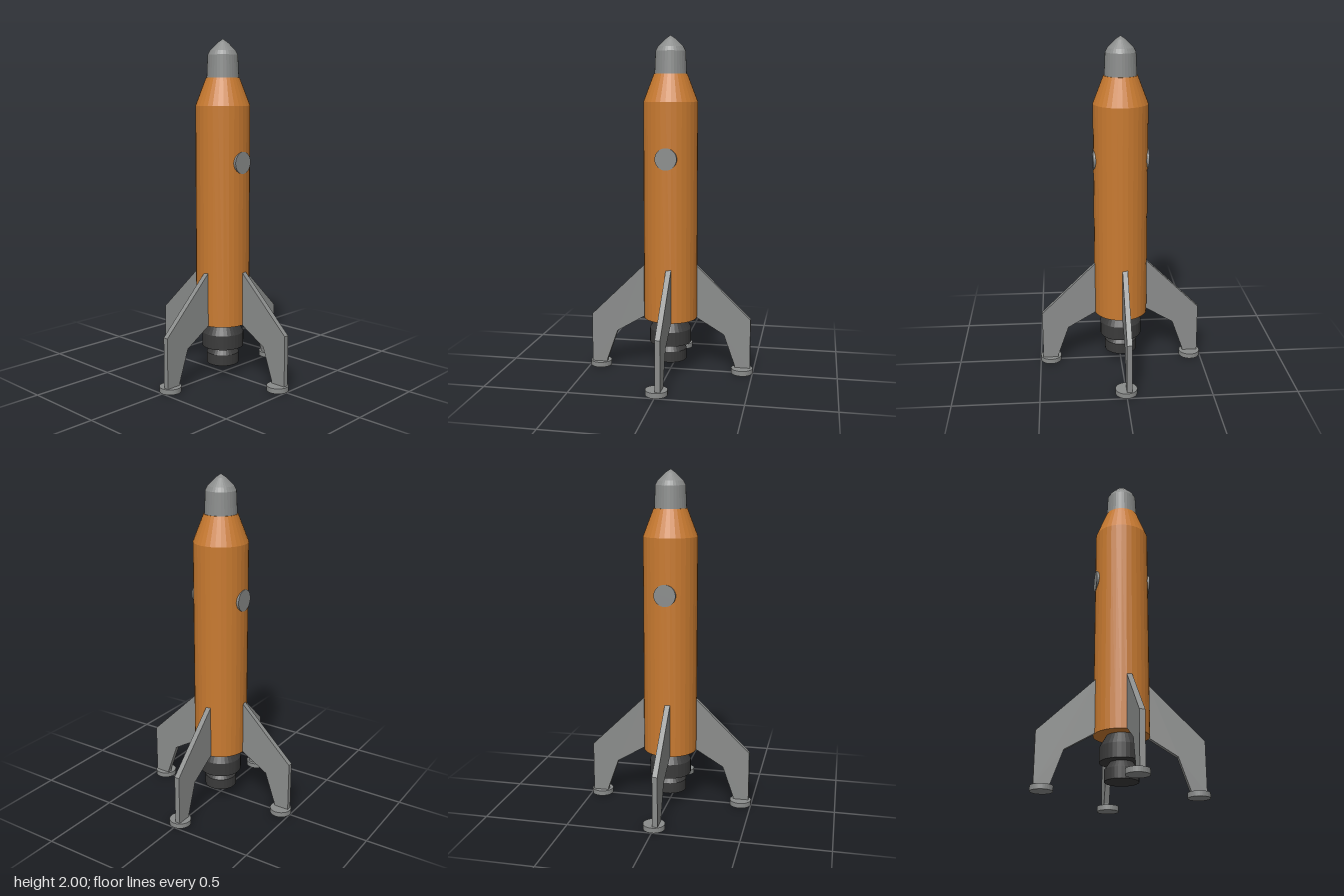
import * as THREE from 'three';

const material = (name, color) => {
  const m = new THREE.MeshStandardMaterial({ color, flatShading: true });
  m.name = name;
  return m;
};

export function createModel() {
  const orange = material('orange hull', 0xc87a30);
  const grey = material('grey metal', 0x8a8c8b);
  const dark = material('dark engine', 0x3a3a3a);
  const rocket = new THREE.Group();
  rocket.name = 'rocket';

  const add = (name, geometry, mat, parent = rocket) => {
    const mesh = new THREE.Mesh(geometry, mat);
    mesh.name = name;
    parent.add(mesh);
    return mesh;
  };
  // Turned part from [radius, height] pairs, bottom to top
  const turned = (name, profile, mat) =>
    add(name, new THREE.LatheGeometry(profile.map(([r, y]) => new THREE.Vector2(r, y)), 32), mat);

  // Hull with tapered shoulder
  turned('hull', [[0, 0.328], [0.16, 0.328], [0.16, 1.62], [0.098, 1.78], [0, 1.78]], orange);

  // Nose cap
  turned('nose', [[0, 1.778], [0.094, 1.778], [0.088, 1.91], [0.075, 1.935], [0.03, 1.98], [0, 2]], grey);

  // Stepped engine bell
  turned('engine', [[0, 0.07], [0.097, 0.07], [0.097, 0.135], [0.066, 0.177], [0.125, 0.177],
    [0.125, 0.262], [0.085, 0.33], [0, 0.33]], dark);

  // Round windows on the front and back
  for (const side of [1, -1]) {
    const pane = add(side > 0 ? 'frontWindow' : 'backWindow',
      new THREE.CylinderGeometry(0.064, 0.064, 0.018, 32), grey);
    pane.rotation.x = Math.PI / 2;
    pane.position.set(0, 1.295, side * 0.153);
  }

  // Landing legs, each offset to one side of its radial plane
  const outline = [[0.15, 0.655], [0.16, 0.645], [0.484, 0.328], [0.484, 0.025],
    [0.392, 0.025], [0.392, 0.04], [0.325, 0.23], [0.15, 0.334]];
  const finGeometry = new THREE.ExtrudeGeometry(
    new THREE.Shape(outline.map(([x, y]) => new THREE.Vector2(x, y))),
    { depth: 0.031, bevelEnabled: false });
  finGeometry.translate(0, 0, -0.031);
  const footGeometry = new THREE.CylinderGeometry(0.064, 0.064, 0.03, 32);
  footGeometry.translate(0.436, 0.015, 0);

  ['left', 'back', 'right', 'front'].forEach((name, i) => {
    const leg = new THREE.Group();
    leg.name = name + 'Leg';
    leg.rotation.y = i * Math.PI / 2;
    add(name + 'Fin', finGeometry, grey, leg);
    add(name + 'Foot', footGeometry, grey, leg);
    rocket.add(leg);
  });

  return rocket;
}
